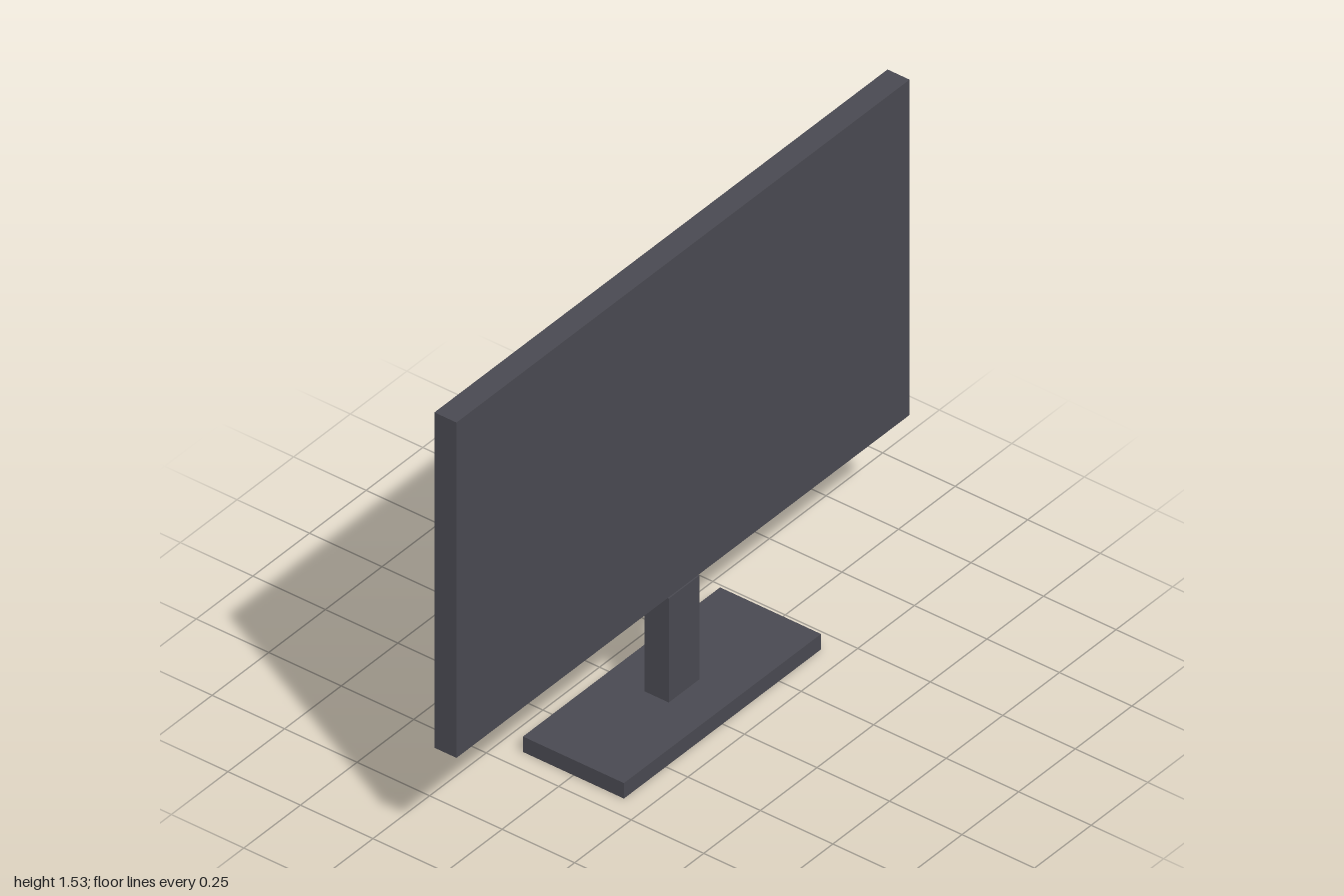
import * as THREE from 'three';

export function createModel() {
  const model = new THREE.Group();
  model.name = 'monitor';
  const charcoal = new THREE.MeshStandardMaterial({ color: 0x4a4a52 });
  charcoal.name = 'charcoal';

  // Adds a box given its extents along each axis
  function addBox(name, [x0, x1], [y0, y1], [z0, z1]) {
    const mesh = new THREE.Mesh(new THREE.BoxGeometry(x1 - x0, y1 - y0, z1 - z0), charcoal);
    mesh.position.set((x0 + x1) / 2, (y0 + y1) / 2, (z0 + z1) / 2);
    mesh.name = name;
    model.add(mesh);
  }

  // Stand
  addBox('base', [-0.435, 0.435], [0, 0.052], [-0.174, 0.174]);
  addBox('neck', [-0.068, 0.068], [0.052, 0.402], [-0.042, 0.042]);

  // Display with a raised plate on its back
  addBox('displayPanel', [-1, 1], [0.402, 1.532], [-0.038, 0.038]);
  addBox('backPlate', [-0.94, 0.94], [0.465, 1.47], [-0.053, -0.038]);

  return model;
}
